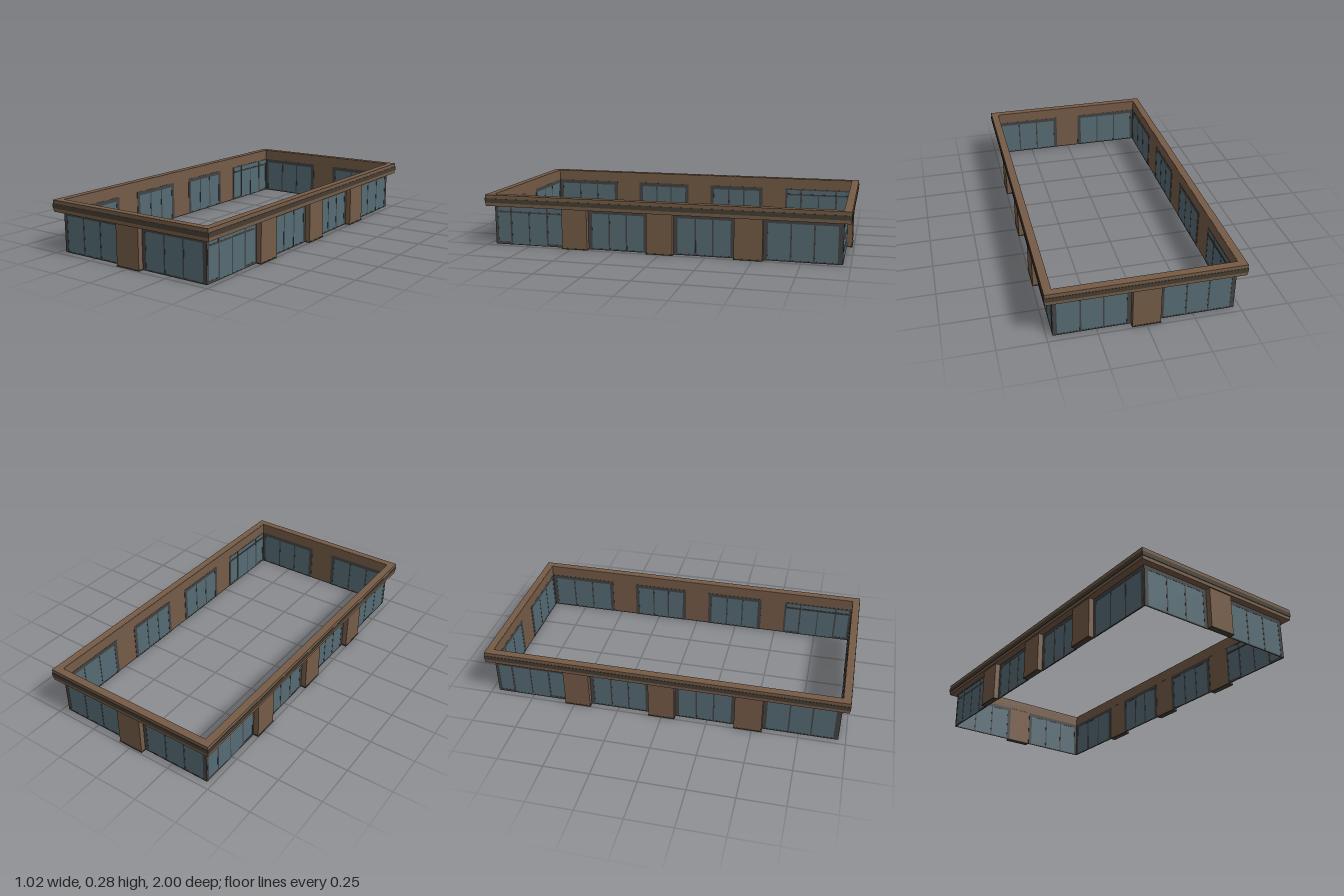
import * as THREE from 'three';

const mat = (name, color) => {
  const m = new THREE.MeshStandardMaterial({ color });
  m.name = name;
  return m;
};

export function createModel() {
  const brown = mat('brown cladding', 0x755b47);
  const band = mat('dark trim', 0x453e33);
  const frameMat = mat('window frame grey', 0x434343);
  const glassMat = mat('blue grey glass', 0x566c74);

  const model = new THREE.Group();
  model.name = 'pavilionFacade';

  // Box given by its limits
  const box = (parent, name, material, x0, x1, y0, y1, z0, z1) => {
    const mesh = new THREE.Mesh(new THREE.BoxGeometry(x1 - x0, y1 - y0, z1 - z0), material);
    mesh.position.set((x0 + x1) / 2, (y0 + y1) / 2, (z0 + z1) / 2);
    mesh.name = name;
    parent.add(mesh);
  };

  // Rectangular ring of the cornice
  const ring = (name, material, hx, hz, y0, y1) => {
    const rect = (S, a, b) => new S([[-a, -b], [a, -b], [a, b], [-a, b]].map(p => new THREE.Vector2(...p)));
    const shape = rect(THREE.Shape, hx, hz);
    shape.holes.push(rect(THREE.Path, 0.467, 0.958));
    const geo = new THREE.ExtrudeGeometry(shape, { depth: y1 - y0, bevelEnabled: false });
    geo.rotateX(-Math.PI / 2);
    const mesh = new THREE.Mesh(geo, material);
    mesh.position.y = y0;
    mesh.name = name;
    model.add(mesh);
  };

  const TOP = 0.222;

  // Three pane window; the wall's outer face is at z = d
  const windowUnit = (wall, d, u0, u1) => {
    const g = new THREE.Group();
    g.name = 'window';
    wall.add(g);
    const z0 = d - 0.005, a = u0 + 0.022, b = u1 - 0.022;
    box(g, 'glass', glassMat, a, b, 0.007, 0.2, d - 0.004, d - 0.001);
    box(g, 'frameHead', frameMat, u0, u1, 0.2, TOP, z0, d);
    box(g, 'frameSill', frameMat, u0, u1, 0, 0.007, z0, d);
    box(g, 'frameJamb', frameMat, u0, a, 0.007, 0.2, z0, d);
    box(g, 'frameJamb', frameMat, b, u1, 0.007, 0.2, z0, d);
    for (const t of [1 / 3, 2 / 3]) {
      const m = a + (b - a) * t;
      box(g, 'mullion', frameMat, m - 0.004, m + 0.004, 0.007, 0.2, z0, d);
    }
  };

  // Glazed entrance with a transom light over four panels
  const entrance = (wall, d, u0, u1) => {
    const g = new THREE.Group();
    g.name = 'entrance';
    wall.add(g);
    const z0 = d - 0.005, zi = d - 0.008;
    box(g, 'doorGlass', glassMat, u0, u1, 0.004, 0.216, d - 0.004, d - 0.001);
    box(g, 'doorHead', frameMat, u0, u1, 0.214, TOP, z0, d);
    box(g, 'doorSill', frameMat, u0, u1, 0, 0.004, z0, d);
    for (const [a, b] of [[u0, u0 + 0.012], [u1 - 0.012, u1]]) {
      box(g, 'doorJamb', frameMat, a, b, 0.004, 0.214, z0, d);
    }
    box(g, 'transom', frameMat, u0 + 0.012, u1 - 0.012, 0.181, 0.19, zi, d);
    const posts = [-0.865, -0.758, -0.65];
    posts.forEach((m, i) => {
      const w = i === 1 ? 0.003 : 0.005;
      box(g, 'doorPost', frameMat, m - w, m + w, 0.004, i === 1 ? 0.181 : 0.214, z0, d);
    });
    for (const [a, b] of [[u0 + 0.012, -0.87], [-0.645, u1 - 0.012]]) {
      box(g, 'sidelightRail', frameMat, a, b, 0.004, 0.014, z0, d);
    }
  };

  // Projecting pier with a low dark base
  const pier = (wall, d, u0, u1) => {
    box(wall, 'pier', brown, u0, u1, 0.006, TOP, d - 0.003, d + 0.029);
    box(wall, 'pierBase', band, u0 - 0.002, u1 + 0.002, 0, 0.006, d - 0.003, d + 0.031);
  };

  // End walls and long walls, each pair related by a half turn
  for (const turn of [0, Math.PI]) {
    const end = new THREE.Group();
    end.name = turn ? 'backWall' : 'frontWall';
    end.rotation.y = turn;
    model.add(end);
    windowUnit(end, 0.961, -0.468, -0.073);
    windowUnit(end, 0.961, 0.073, 0.468);
    pier(end, 0.961, -0.073, 0.073);

    const side = new THREE.Group();
    side.name = turn ? 'rightWall' : 'leftWall';
    side.rotation.y = turn + Math.PI / 2;
    model.add(side);
    entrance(side, 0.469, -0.956, -0.552);
    windowUnit(side, 0.469, -0.408, -0.072);
    windowUnit(side, 0.469, 0.072, 0.402);
    windowUnit(side, 0.469, 0.552, 0.956);
    pier(side, 0.469, -0.552, -0.408);
    pier(side, 0.469, -0.072, 0.072);
    pier(side, 0.469, 0.402, 0.552);
  }

  // Layered cornice
  ring('corniceLower', brown, 0.507, 0.997, TOP, 0.241);
  ring('corniceBand', band, 0.51, 1, 0.241, 0.265);
  ring('corniceUpper', brown, 0.508, 0.998, 0.265, 0.285);
  // Inner lining of the cornice band
  for (const s of [-1, 1]) {
    box(model, 'corniceLining', brown, s * 0.4665 - 0.001, s * 0.4665 + 0.001, TOP, 0.284, -0.958, 0.958);
    box(model, 'corniceLining', brown, -0.467, 0.467, TOP, 0.284, s * 0.9575 - 0.001, s * 0.9575 + 0.001);
  }

  return model;
}
